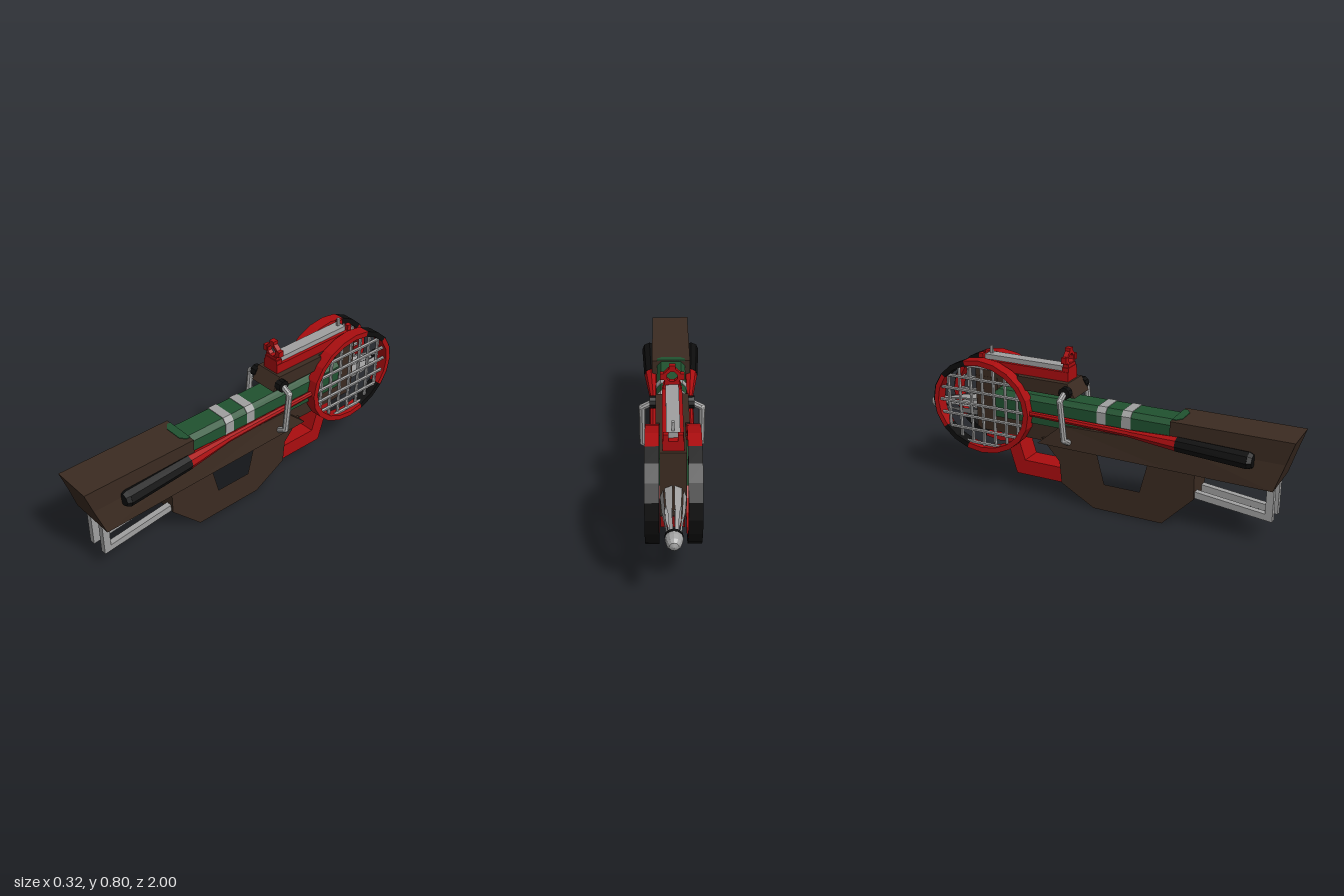
import * as THREE from 'three';

const mat = (name, color, extra = {}) => {
  const m = new THREE.MeshStandardMaterial({ color, flatShading: true, ...extra });
  m.name = name;
  return m;
};

export function createModel() {
  const root = new THREE.Group();
  root.name = 'racketLauncher';
  const brown = mat('brown wood', 0x3b2b21);
  const red = mat('red', 0xab0d0f);
  const green = mat('green', 0x205230);
  const grey = mat('grey', 0xa0a0a0);
  const black = mat('black', 0x0d0d0d);
  const feather = grey;
  feather.side = THREE.DoubleSide;

  const add = (name, geo, material, parent = root) => {
    const m = new THREE.Mesh(geo, material);
    m.name = name;
    parent.add(m);
    return m;
  };
  const toShape = pts => new THREE.Shape(pts.map(p => new THREE.Vector2(...p)));

  // Extrudes a side outline given as [z, y] across the width, centred on x
  const side = (pts, width, x = 0, holes = []) => {
    const s = toShape(pts);
    holes.forEach(h => s.holes.push(toShape(h)));
    const g = new THREE.ExtrudeGeometry(s, { depth: width, bevelEnabled: false });
    return g.translate(0, 0, -width / 2).rotateY(-Math.PI / 2).translate(x, 0, 0);
  };
  // Extrudes a front outline given as [x, y] from z0 to z1
  const along = (pts, z0, z1, holes = []) => {
    const s = toShape(pts);
    holes.forEach(h => s.holes.push(toShape(h)));
    return new THREE.ExtrudeGeometry(s, { depth: z1 - z0, bevelEnabled: false }).translate(0, 0, z0);
  };
  const box = (x0, x1, y0, y1, z0, z1) =>
    new THREE.BoxGeometry(x1 - x0, y1 - y0, z1 - z0).translate((x0 + x1) / 2, (y0 + y1) / 2, (z0 + z1) / 2);
  // Straight rod between two points
  const rod = (a, b, r0, r1 = r0, n = 6) => {
    const A = new THREE.Vector3(...a), B = new THREE.Vector3(...b);
    const d = B.clone().sub(A);
    const g = new THREE.CylinderGeometry(r1, r0, d.length(), n);
    g.applyQuaternion(new THREE.Quaternion().setFromUnitVectors(new THREE.Vector3(0, 1, 0), d.normalize()));
    return g.translate(...A.add(B).multiplyScalar(0.5).toArray());
  };

  // Stock and the lower body, which flares toward its rear bottom edge
  add('stock', side([[1, .55], [.963, .44], [.41, .44], [.41, .55]], .2), brown);
  const body = side([[.963, .44], [.92, .31], [.42, .31], [-.3, .31], [-.17, .42], [.38, .44], [.42, .44]], 2);
  const p = body.attributes.position;
  for (let i = 0; i < p.count; i++) {
    const rear = p.getZ(i) > .4, low = p.getY(i) < .35;
    const w = rear ? (low ? .121 : .1) : (low ? .1 : .085);
    p.setX(i, Math.sign(p.getX(i)) * (rear && low && p.getZ(i) < .5 ? .112 : w));
  }
  body.computeVertexNormals();
  add('lowerBody', body, brown);
  add('frontBody', box(-.058, .058, .31, .47, -.67, -.1), brown);
  add('frontBlock', box(-.058, .058, .32, .6, -.68, -.55), brown);

  // Upper guard, narrowing between the racket heads
  add('upperGuard', side([[-.1, .57], [-.14, .638], [-.42, .638], [-.42, .57]], .152), brown);
  add('upperGuardFront', box(-.057, .057, .57, .638, -.68, -.42), brown);

  // Green receiver with two pale bands
  const barrel = g => [[-.074 - g, .4], [.074 + g, .4], [.074 + g, .52 + g], [.052 + g, .545 + g],
    [-.052 - g, .545 + g], [-.074 - g, .52 + g]];
  add('receiver', along(barrel(0), -.56, .41), green);
  // Wedge-shaped rear end of the receiver, let into the stock
  const wedge = new THREE.ExtrudeGeometry(
    toShape([[-.074, -.41], [-.074, -.43], [-.045, -.452], [.045, -.452], [.074, -.43], [.074, -.41]].reverse()),
    { depth: .01, bevelEnabled: false });
  add('receiverEnd', wedge.rotateX(-Math.PI / 2).translate(0, .543, 0), green);
  [[.02, .068], [.152, .2]].forEach(([a, b]) => add('receiverBand', along(barrel(.003), a, b), grey));

  // Open grip and the angled red foregrip
  add('grip', side(
    [[.53, .33], [.53, .165], [.37, .003], [0, .003], [-.18, .105], [-.19, .22], [-.29, .33]], .146, 0,
    [[[.295, .32], [.25, .145], [.06, .145], [.015, .32]]]), brown);
  add('foregrip', side(
    [[-.17, .1], [-.45, .1], [-.525, .34], [-.45, .34], [-.4, .18], [-.17, .18]], .115), red);

  // Twin wire rests below the stock
  [-1, 1].forEach(s => add('stockRest', side(
    [[.91, .32], [.91, .127], [.52, .168], [.52, .202], [.875, .163], [.875, .32]], .03, s * .045), grey));

  // Top rail with grey slide
  add('topRail', box(-.046, .046, .635, .685, -.665, -.15), red);
  add('slide', box(-.03, .03, .68, .71, -.635, -.19), grey);
  [-1, 1].forEach(s => add('frontSightEar', box(s * .031 - .012, s * .031 + .012, .68, .715, -.665, -.64), red));
  add('frontSightPost', box(-.006, .006, .7, .75, -.62, -.605), grey);

  // Rear aperture sight
  const sight = new THREE.Group();
  sight.name = 'rearSight';
  root.add(sight);
  const oct = r => Array.from({ length: 8 }, (_, i) => {
    const a = (i + .5) * Math.PI / 4;
    return [r * Math.cos(a), .745 + r * Math.sin(a)];
  });
  add('sightBase', box(-.042, .042, .635, .706, -.185, -.15), red, sight);
  add('sightNeck', box(-.036, .036, .70, .722, -.182, -.153), red, sight);
  add('sightRing', along(oct(.042), -.18, -.155, [oct(.026)]), red, sight);
  add('sightTopKnob', box(-.015, .015, .775, .8, -.182, -.153), red, sight);
  [-1, 1].forEach(s => add('sightSideKnob', box(s * .045 - .011, s * .045 + .011, .73, .76, -.182, -.153), red, sight));

  // Rackets and bent side levers, one on each side
  const CZ = -.622, CY = .452, RZ = .283, RY = .248, N = 20, T = .028;
  const rim = (i, inset) => {
    const a = i * 2 * Math.PI / N;
    return [CZ - (RZ - inset) * Math.cos(a), CY + (RY - inset) * Math.sin(a)];
  };
  const arc = (i0, i1, out, inn, width, x) => {
    const pts = [];
    for (let i = i0; i <= i1; i++) pts.push(rim(i, out));
    for (let i = i1; i >= i0; i--) pts.push(rim(i, inn));
    return side(pts, width, x);
  };
  [1, -1].forEach(s => {
    const g = new THREE.Group();
    g.name = s > 0 ? 'leftRacket' : 'rightRacket';
    root.add(g);
    const X = s * .09;
    add('headFrame', arc(4, 16, 0, T, .06, X), red, g);
    add('headTip', arc(-2, 2, .003, T, .06, X), red, g);
    add('bumperTop', arc(2, 4, 0, T, .06, X), black, g);
    add('bumperBottom', arc(-4, -2, 0, T, .06, X), black, g);
    add('bumperEdge', arc(-2, 2, 0, .005, .06, X), black, g);
    // Strings clipped to the oval
    const rz = RZ - .02, ry = RY - .02;
    for (let i = -3; i <= 3; i++) {
      const d = i * .068, h = ry * Math.sqrt(1 - (d / rz) ** 2);
      add('crossString', rod([X, CY - h, CZ + d], [X, CY + h, CZ + d], .009), grey, g);
      const e = i * .069, l = rz * Math.sqrt(1 - (e / ry) ** 2);
      add('mainString', rod([X + s * .006, CY + e, CZ - l], [X + s * .006, CY + e, CZ + l], .009), grey, g);
    }
    add('shaft', rod([X, .457, -.345], [s * .092, .45, .2], .014, .019, 8), red, g);
    add('shaftThroat', rod([s * .092, .45, .2], [s * .104, .447, .45], .019, .036, 8), red, g);
    add('handle', rod([s * .104, .447, .45], [s * .116, .438, .8], .037, .042, 8), black, g);
    add('handleCap', rod([s * .116, .438, .8], [s * .116, .438, .82], .042, .032, 8), black, g);

    // Bent lever with pivot cap
    const lever = new THREE.Group();
    lever.name = s > 0 ? 'leftLever' : 'rightLever';
    root.add(lever);
    add('pivotCap', rod([s * .07, .596, -.143], [s * .105, .596, -.143], .031, .031, 10), black, lever);
    const path = [[.09, .597, -.145], [.141, .57, -.145], [.141, .37, -.126], [.1, .345, -.123]]
      .map(([x, y, z]) => [s * x, y, z]);
    path.slice(1).forEach((q, i) => {
      add('leverRod', rod(path[i], q, .016, .016, 8), grey, lever);
      if (i < 2) add('leverElbow', new THREE.IcosahedronGeometry(.0165, 1).translate(...q), grey, lever);
    });
  });

  // Shuttlecock at the muzzle: feathers, band and rounded cork, slightly nose down
  const shuttle = new THREE.Group();
  shuttle.name = 'shuttlecock';
  shuttle.position.set(0, .394, -.935);
  shuttle.rotation.x = -.08;
  root.add(shuttle);
  const K = 8;
  for (let i = 0; i < K; i++) {
    const a = (i + .5) * 2 * Math.PI / K;
    const at = (r, da, z) => [r * Math.cos(a + da), r * Math.sin(a + da) * 1.1, z];
    const rows = [[.03, .3, 0], [.042, .2, .1], [.05, .32, .15], [.058, .32, .27]];
    const pos = rows.flatMap(([r, w, z]) => [...at(r, -w, z), ...at(r, w, z)]);
    const geo = new THREE.BufferGeometry();
    geo.setAttribute('position', new THREE.Float32BufferAttribute(pos, 3));
    geo.setIndex([0, 2].concat(4).flatMap(k => [k, k + 1, k + 3, k, k + 3, k + 2]));
    geo.computeVertexNormals();
    add('feather', geo, feather, shuttle);
  }
  add('corkBand', rod([0, 0, .006], [0, 0, -.008], .039, .039, 12), black, shuttle);
  const cork = [[.038, 0], [.037, .02], [.032, .042], [.02, .058], [0, .065]].map(q => new THREE.Vector2(...q));
  add('cork', new THREE.LatheGeometry(cork, 12).rotateX(-Math.PI / 2).translate(0, 0, -.004), grey, shuttle);

  return root;
}
